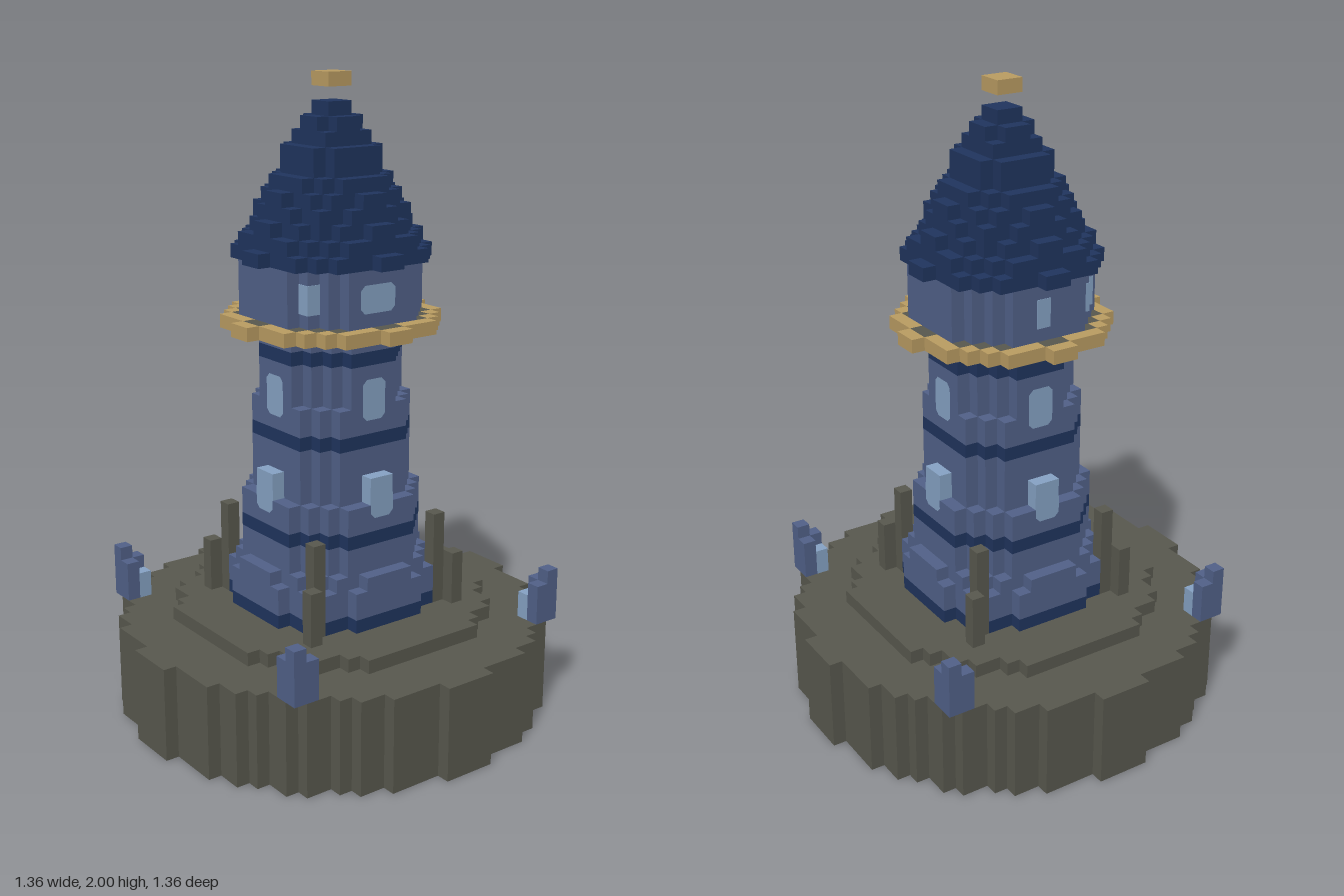
import * as THREE from 'three';

const U = 2 / 47; // one block
const mat = (name, color) => Object.assign(new THREE.MeshStandardMaterial({ color }), { name });

// stepped outline of a circle on the block grid (r2 = squared radius in blocks)
function outline(r2) {
  const quarter = [];
  const add = (x, y) => {
    const l = quarter[quarter.length - 1];
    if (!l || l[0] !== x || l[1] !== y) quarter.push([x, y]);
  };
  for (let j = 0; ; j++) {
    const d = r2 - (j + 0.5) ** 2;
    const w = d < 0.25 ? 0 : Math.floor(Math.sqrt(d) - 0.5) + 1;
    if (!w) break;
    add(w, j);
    add(w, j + 1);
  }
  const pts = [];
  for (let k = 0; k < 4; k++) {
    for (const [x, y] of quarter) {
      const [a, b] = [[x, y], [-y, x], [-x, -y], [y, -x]][k];
      pts.push(new THREE.Vector2(a * U, b * U));
    }
  }
  return pts;
}

export function createModel() {
  const root = new THREE.Group();
  root.name = 'lighthouseTower';
  const stone = mat('stone', 0x59594f);
  const blue = mat('slateBlue', 0x52628a);
  const navy = mat('navy', 0x20355f);
  const glass = mat('paleGlass', 0x87a4c6);
  const gold = mat('gold', 0xbc9e63);

  const put = (name, geo, material) => {
    const m = new THREE.Mesh(geo, material);
    m.name = name;
    root.add(m);
    return m;
  };

  // stepped disc between block rows y0 and y1, optionally hollow
  const disc = (name, material, r2, y0, y1, hole) => {
    const shape = new THREE.Shape(outline(r2));
    if (hole) shape.holes.push(new THREE.Path(outline(hole).reverse()));
    const geo = new THREE.ExtrudeGeometry(shape, { depth: (y1 - y0) * U, bevelEnabled: false });
    geo.rotateX(-Math.PI / 2);
    geo.translate(0, y0 * U, 0);
    return put(name, geo, material);
  };

  // box given by its block limits; grow lifts it slightly off its neighbours
  const box = (name, material, x0, x1, y0, y1, z0, z1, grow = 0) => {
    const geo = new THREE.BoxGeometry((x1 - x0) * U + grow, (y1 - y0) * U + grow, (z1 - z0) * U + grow);
    geo.translate((x0 + x1) / 2 * U, (y0 + y1) / 2 * U, (z0 + z1) / 2 * U);
    return put(name, geo, material);
  };

  // pane with cut corners on a wall at the given distance, turned about y
  const pane = (name, w, y0, y1, dist, turn, shift = 0) => {
    const a = w / 2, c = 0.35;
    const s = new THREE.Shape([
      [-a + c, y0], [a - c, y0], [a, y0 + c], [a, y1 - c],
      [a - c, y1], [-a + c, y1], [-a, y1 - c], [-a, y0 + c],
    ].map(([x, y]) => new THREE.Vector2((x + shift) * U, y * U)));
    const geo = new THREE.ShapeGeometry(s);
    geo.translate(0, 0, dist * U + 0.002);
    geo.rotateY(turn);
    put(name, geo, glass);
  };

  // base
  disc('base', stone, 244, 0, 7);
  disc('upperStep', stone, 131.5, 7, 8);

  // tapering shaft with navy bands
  const shaft = [
    [8, 9, 51, navy], [9, 11, 51, blue], [11, 12, 46, blue], [12, 14, 38, blue],
    [14, 15, 38, navy], [15, 17, 38, blue], [17, 21, 28, blue], [21, 22, 28, navy],
    [22, 24, 28, blue], [24, 27, 24, blue], [27, 28, 24, navy], [28, 29, 24, blue],
  ];
  for (const [y0, y1, r2, m] of shaft) disc(m === navy ? 'shaftBand' : 'shaft', m, r2, y0, y1);

  // windows on four sides
  for (let k = 0; k < 4; k++) {
    const turn = k * Math.PI / 2;
    const bay = box('windowBay', glass, -1, 1, 17, 19, 4, 6);
    bay.rotation.y = turn;
    pane('lowerWindow', 2, 16, 18, 6, turn);
    pane('upperWindow', 2, 23, 26, 5, turn);
  }

  // diagonal buttresses and corner lamp posts
  for (const sx of [-1, 1]) for (const sz of [-1, 1]) {
    const cell = (name, m, x, y0, y1, z) =>
      box(name, m, sx * (x + 0.5) - 0.5, sx * (x + 0.5) + 0.5, y0, y1, sz * (z + 0.5) - 0.5, sz * (z + 0.5) + 0.5);
    cell('innerButtress', stone, 5, 8, 15, 5);
    cell('outerButtress', stone, 6, 8, 12, 6);
    cell('postCorner', blue, 11, 7, 11, 11);
    cell('postSide', blue, 10, 7, 10, 11);
    cell('postSide', blue, 11, 7, 10, 10);
    cell('postLamp', glass, 10, 7, 9, 10);
  }

  // gallery
  disc('galleryFloor', stone, 43, 29, 30);
  disc('galleryRim', gold, 57, 29, 30, 43);

  // lantern room and its windows
  disc('lanternRoom', blue, 38, 30, 34);
  pane('lanternWindow', 3, 31, 33, 6, Math.PI / 2, -0.5);
  for (const [x, z] of [[3, 4], [-4, 4], [-5, 3], [-6, -1]]) {
    box('lanternWindow', glass, x, x + 1, 31, 33, z, z + 1, 0.004);
  }

  // stepped roof and finial
  for (let y = 34; y < 45; y++) disc('roof', navy, (6.59 - 0.51 * (y - 34)) ** 2, y, y + 1);
  box('finial', gold, -1, 1, 46, 47, -1, 1);

  return root;
}
